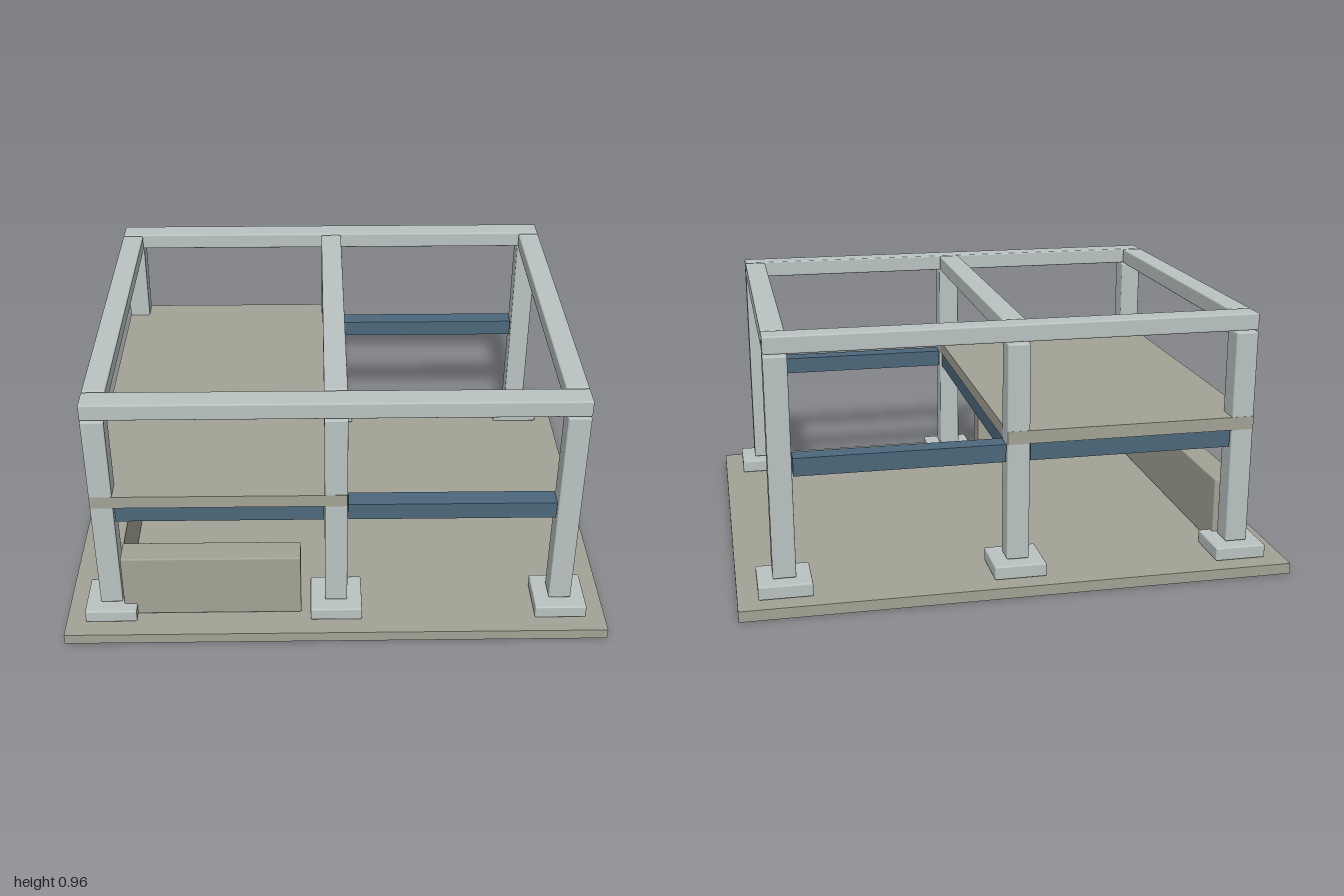
import * as THREE from 'three';
import { RoundedBoxGeometry } from 'three/addons/geometries/RoundedBoxGeometry.js';

const material = (name, color) => {
  const m = new THREE.MeshStandardMaterial({ color });
  m.name = name;
  return m;
};

export function createModel() {
  const model = new THREE.Group();
  model.name = 'buildingFrame';
  const concrete = material('pale concrete', 0xb9c3c1);
  const slabStone = material('warm grey slab', 0xa2a295);
  const steel = material('blue steel', 0x4c677b);

  // Box given by its extents; a bevel softens the edges
  const block = (name, mat, [x0, x1], [y0, y1], [z0, z1], bevel = 0) => {
    const size = [x1 - x0, y1 - y0, z1 - z0];
    const geometry = bevel
      ? new RoundedBoxGeometry(...size, 2, bevel)
      : new THREE.BoxGeometry(...size);
    const mesh = new THREE.Mesh(geometry, mat);
    mesh.name = name;
    mesh.position.set((x0 + x1) / 2, (y0 + y1) / 2, (z0 + z1) / 2);
    model.add(mesh);
  };
  const around = (c, half) => [c - half, c + half];

  const BEVEL = 0.006;
  const columnX = [-0.833, 0, 0.833];
  const rowZ = [-0.667, 0.667];
  const roofY = [0.898, 0.96];
  const steelY = [0.465, 0.53];

  // Ground slab
  block('groundSlab', slabStone, [-1, 1], [0, 0.04], [-0.83, 0.83]);

  // Footings and columns
  for (const x of columnX) {
    for (const z of rowZ) {
      block('footing', concrete, around(x, 0.095), [0.042, 0.092], around(z, 0.095), BEVEL);
      block('column', concrete, around(x, 0.041), [0.095, 0.892], around(z, 0.044), BEVEL);
    }
    // Roof cross beams
    block('roofCrossBeam', concrete, around(x, 0.041), roofY, [-0.616, 0.616], BEVEL);
  }

  // Long roof beams and steel floor beams along front and back
  for (const z of rowZ) {
    block('roofLongBeam', concrete, [-0.874, 0.874], roofY, around(z, 0.044), BEVEL);
    block('steelLongBeam', steel, [-0.788, -0.044], steelY, around(z, 0.036));
    block('steelLongBeam', steel, [0.044, 0.788], steelY, around(z, 0.036));
  }

  // Steel cross beams carrying the raised floor
  for (const x of columnX.slice(0, 2)) {
    block('steelCrossBeam', steel, around(x, 0.034), steelY, [-0.618, 0.618]);
  }

  // Raised floor over one bay
  block('upperFloor', slabStone, [-0.873, 0.04], [0.53, 0.578], [-0.712, 0.712]);

  // Low walls at the end and the front of the bay
  block('endWall', slabStone, [-0.884, -0.784], [0.042, 0.3], [-0.6, 0.605], BEVEL);
  block('frontWall', slabStone, [-0.787, -0.13], [0.042, 0.3], [0.618, 0.717], BEVEL);

  return model;
}
